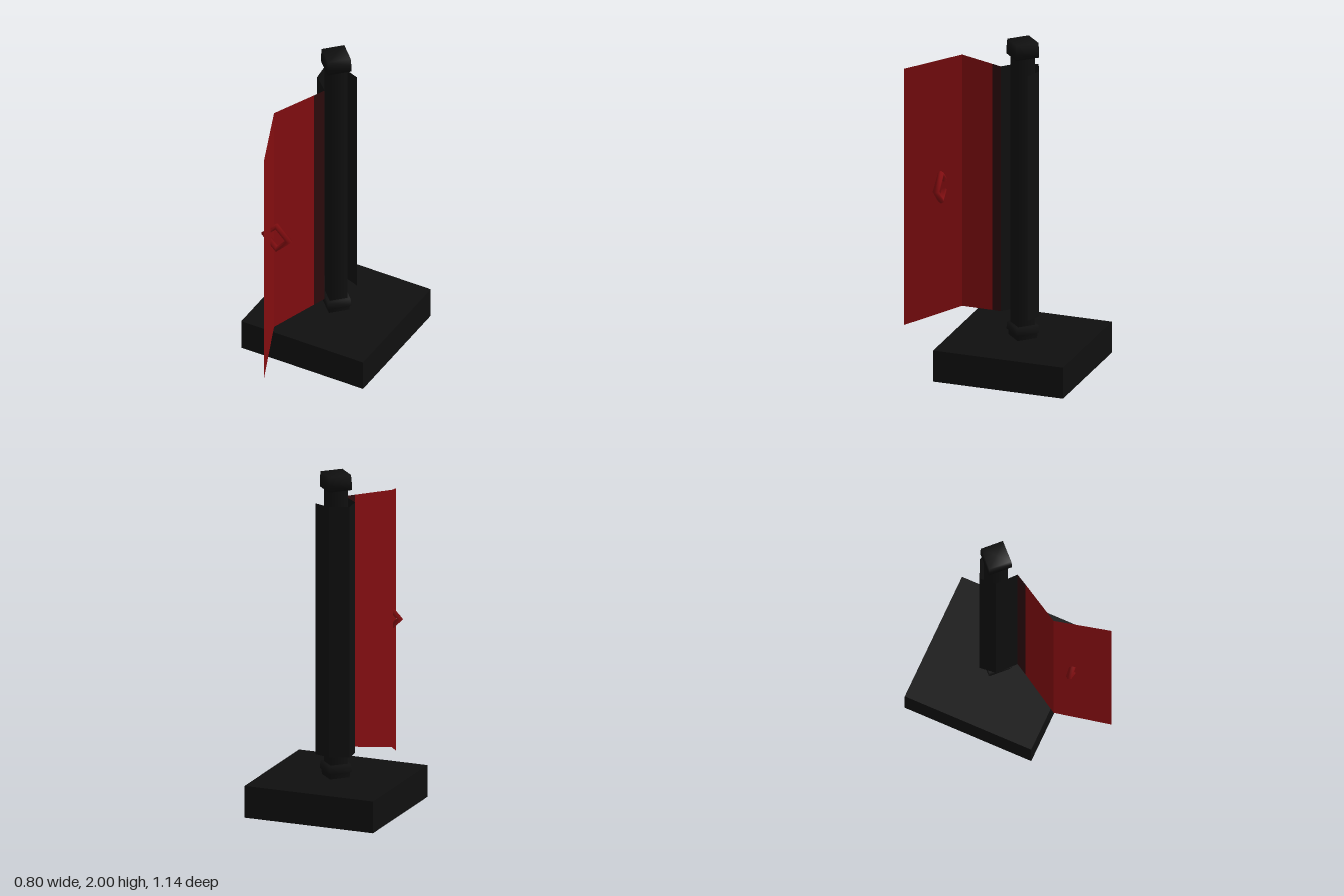
import * as THREE from 'three';

const black = new THREE.MeshStandardMaterial({ color: 0x0f0f0f });
const blackCloth = new THREE.MeshStandardMaterial({ color: 0x0f0f0f, side: THREE.DoubleSide });
const darkRed = new THREE.MeshStandardMaterial({ color: 0x2c0b0d, side: THREE.DoubleSide });
const red = new THREE.MeshStandardMaterial({ color: 0x830d10, side: THREE.DoubleSide });
black.name = 'black';
blackCloth.name = 'blackCloth';
darkRed.name = 'darkRed';
red.name = 'red';

const POLE_Z = -0.175;

function add(group, name, geometry, material, x = 0, y = 0, z = 0) {
  const mesh = new THREE.Mesh(geometry, material);
  mesh.name = name;
  mesh.position.set(x, y, z);
  group.add(mesh);
  return mesh;
}

// Upright folded sheet through columns of [x, z, bottom, top]
function sheet(columns) {
  const positions = [];
  for (let i = 0; i < columns.length - 1; i++) {
    const [ax, az, ab, at] = columns[i];
    const [bx, bz, bb, bt] = columns[i + 1];
    positions.push(ax, ab, az, bx, bb, bz, bx, bt, bz);
    positions.push(ax, ab, az, bx, bt, bz, ax, at, az);
  }
  const geometry = new THREE.BufferGeometry();
  geometry.setAttribute('position', new THREE.Float32BufferAttribute(positions, 3));
  geometry.computeVertexNormals();
  return geometry;
}

// Four-sided turned part from [radius, y] pairs
function turned(profile) {
  const points = profile.map(([r, y]) => new THREE.Vector2(r, y));
  return new THREE.LatheGeometry(points, 4);
}

export function createModel() {
  const model = new THREE.Group();
  model.name = 'bannerStand';

  // Base and pole
  add(model, 'base', new THREE.BoxGeometry(0.8, 0.19, 0.795), black, 0, 0.095, -0.1725);
  add(model, 'pole', new THREE.CylinderGeometry(0.075, 0.075, 1.75, 4), black, 0, 1.06, POLE_Z);

  // Collar at the foot and cap at the top
  add(model, 'footCollar', turned([[0.085, 0.18], [0.09, 0.22], [0.1, 0.225], [0.095, 0.27], [0, 0.27]]),
    black, 0, 0, POLE_Z);
  add(model, 'topCap', turned([[0, 1.91], [0.1, 1.91], [0.1, 1.95], [0.095, 2], [0, 2]]),
    black, 0, 0, POLE_Z);

  // Open sleeve of cloth wrapped behind the pole
  const wrap = [[0.1, -0.24], [0, -0.275], [-0.11, -0.23], [-0.1, -0.13], [0, -0.04]];
  add(model, 'sleeve', sheet(wrap.map(([x, z]) => [x, z, 0.325, 1.825])), blackCloth);

  // Dark hem, then the folded red panel
  const hem = [-0.035, 0.025, 0.312, 1.82];
  add(model, 'hem', sheet([[0, -0.04, 0.325, 1.825], hem]), darkRed);
  add(model, 'panel', sheet([hem, [-0.165, 0.26, 0.26, 1.8], [-0.055, 0.573, 0.14, 1.71]]), red);

  // Diamond ring handle through the panel
  add(model, 'ringHandle', new THREE.TorusGeometry(0.08, 0.02, 6, 4), red, -0.09, 1, 0.361);

  return model;
}
